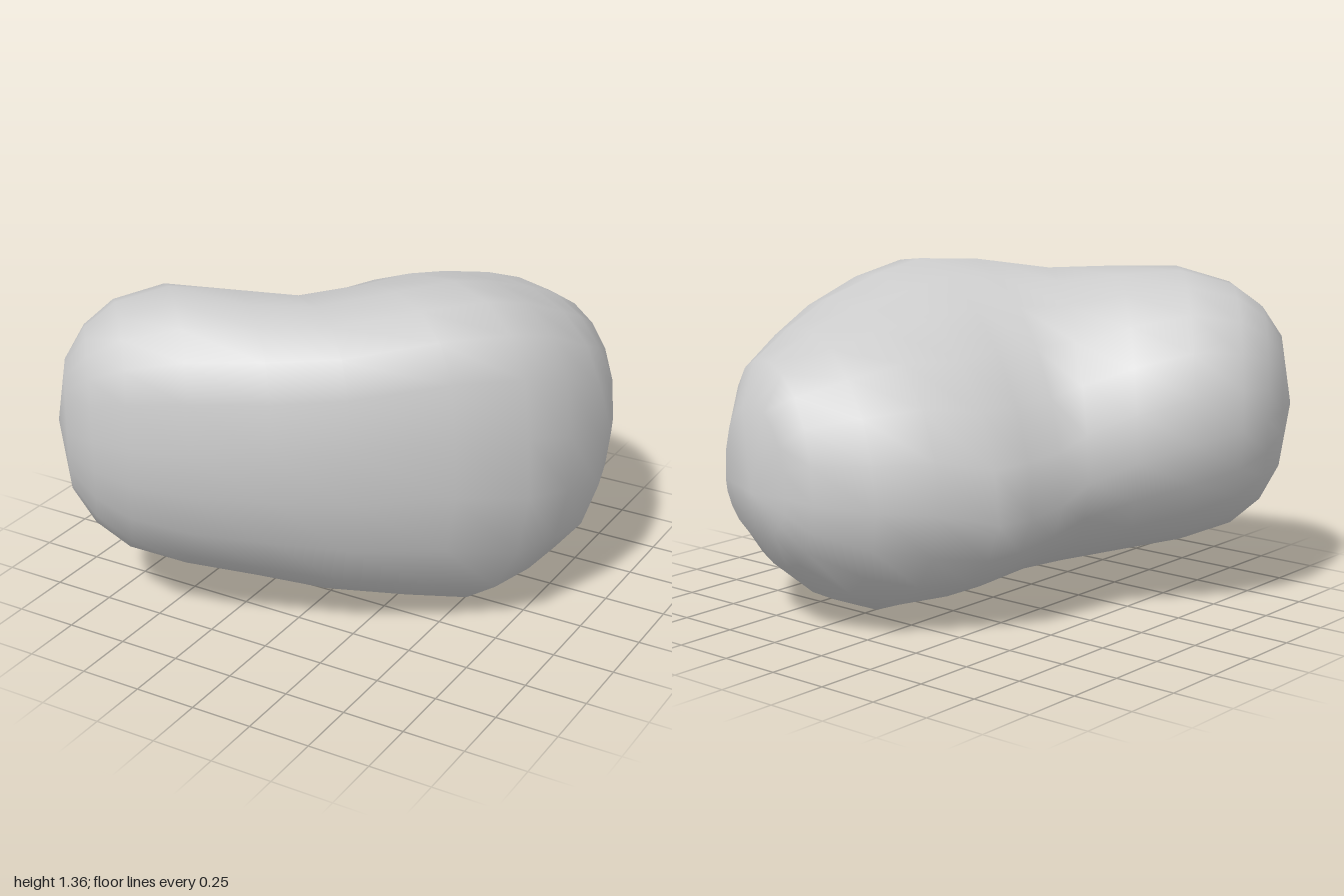
import * as THREE from 'three';
import { mergeVertices } from 'three/addons/utils/BufferGeometryUtils.js';

const SIDES = 20;

// Cross-sections along the bean, from the small lobe to the large one:
// inner x, z, outer x, z, then bottom, widest and top heights,
// sideways lean of the keel, and how far the outer shoulder is raised
const SECTIONS = [
  [-0.88, 0.83, -0.88, 0.83, 0.80, 0.80, 0.80, 0, 0],
  [-0.93, 0.69, -0.73, 0.97, 0.53, 0.81, 1.07, 0.1, 0.02],
  [-0.96, 0.54, -0.59, 1.00, 0.39, 0.81, 1.19, 0.15, 0.03],
  [-0.94, 0.39, -0.43, 0.99, 0.29, 0.80, 1.28, 0.18, 0.04],
  [-0.84, 0.21, -0.20, 0.92, 0.22, 0.78, 1.335, 0.18, 0.06],
  [-0.68, 0.06, 0.08, 0.79, 0.165, 0.75, 1.315, 0.18, 0.1],
  [-0.54, -0.07, 0.33, 0.65, 0.11, 0.72, 1.285, 0.22, 0.15],
  [-0.50, -0.18, 0.64, 0.42, 0.06, 0.70, 1.305, 0.26, 0.2],
  [-0.47, -0.33, 0.84, 0.21, 0.00, 0.67, 1.315, 0.28, 0.2],
  [-0.44, -0.49, 0.92, 0.00, 0.00, 0.64, 1.275, 0.22, 0.17],
  [-0.30, -0.67, 0.96, -0.23, 0.00, 0.61, 1.22, 0.12, 0.09],
  [-0.15, -0.85, 0.90, -0.45, 0.09, 0.59, 1.14, 0.05, 0.05],
  [0.06, -0.97, 0.82, -0.66, 0.24, 0.58, 1.04, 0, 0.02],
  [0.19, -0.985, 0.62, -0.89, 0.38, 0.57, 0.89, 0, 0],
  [0.36, -1.00, 0.36, -1.00, 0.57, 0.57, 0.57, 0, 0],
];

const power = (v, n) => Math.sign(v) * Math.abs(v) ** (2 / n);

// Roundness of each quarter of a section: higher is boxier
const roundness = (outer, above) => (outer ? (above ? 2.35 : 1.8) : above ? 2.05 : 2.2);

function beanGeometry() {
  const positions = [];
  const index = [];
  SECTIONS.forEach(([ix, iz, ox, oz, bottom, mid, top, lean, raise], i) => {
    for (let j = 0; j < SIDES; j++) {
      const a = (j / SIDES) * Math.PI * 2;
      const c = Math.cos(a), h = Math.sin(a);
      const n = roundness(c >= 0, h >= 0);
      const v = power(h, n);
      const u = power(c, n);
      const s = (u + lean * Math.max(0, -v) + 1) / 2;
      positions.push(
        ix + (ox - ix) * s,
        mid + v * (v > 0 ? top - mid : mid - bottom) + raise * u * (1 + Math.min(v, 0)),
        iz + (oz - iz) * s,
      );
      if (i === SECTIONS.length - 1) continue;
      const k = (j + 1) % SIDES;
      const p = i * SIDES + j, q = i * SIDES + k;
      // the end sections are single points, so they get one triangle per side
      if (i > 0) index.push(p, p + SIDES, q);
      if (i < SECTIONS.length - 2) index.push(q, p + SIDES, q + SIDES);
    }
  });
  let geometry = new THREE.BufferGeometry();
  geometry.setAttribute('position', new THREE.Float32BufferAttribute(positions, 3));
  geometry.setIndex(index);
  geometry = mergeVertices(geometry, 1e-4);
  geometry.computeVertexNormals();
  return geometry;
}

export function createModel() {
  const group = new THREE.Group();
  group.name = 'bean';
  const body = new THREE.Mesh(
    beanGeometry(),
    new THREE.MeshStandardMaterial({ color: 0xcccccc }),
  );
  body.name = 'beanBody';
  group.add(body);
  return group;
}
